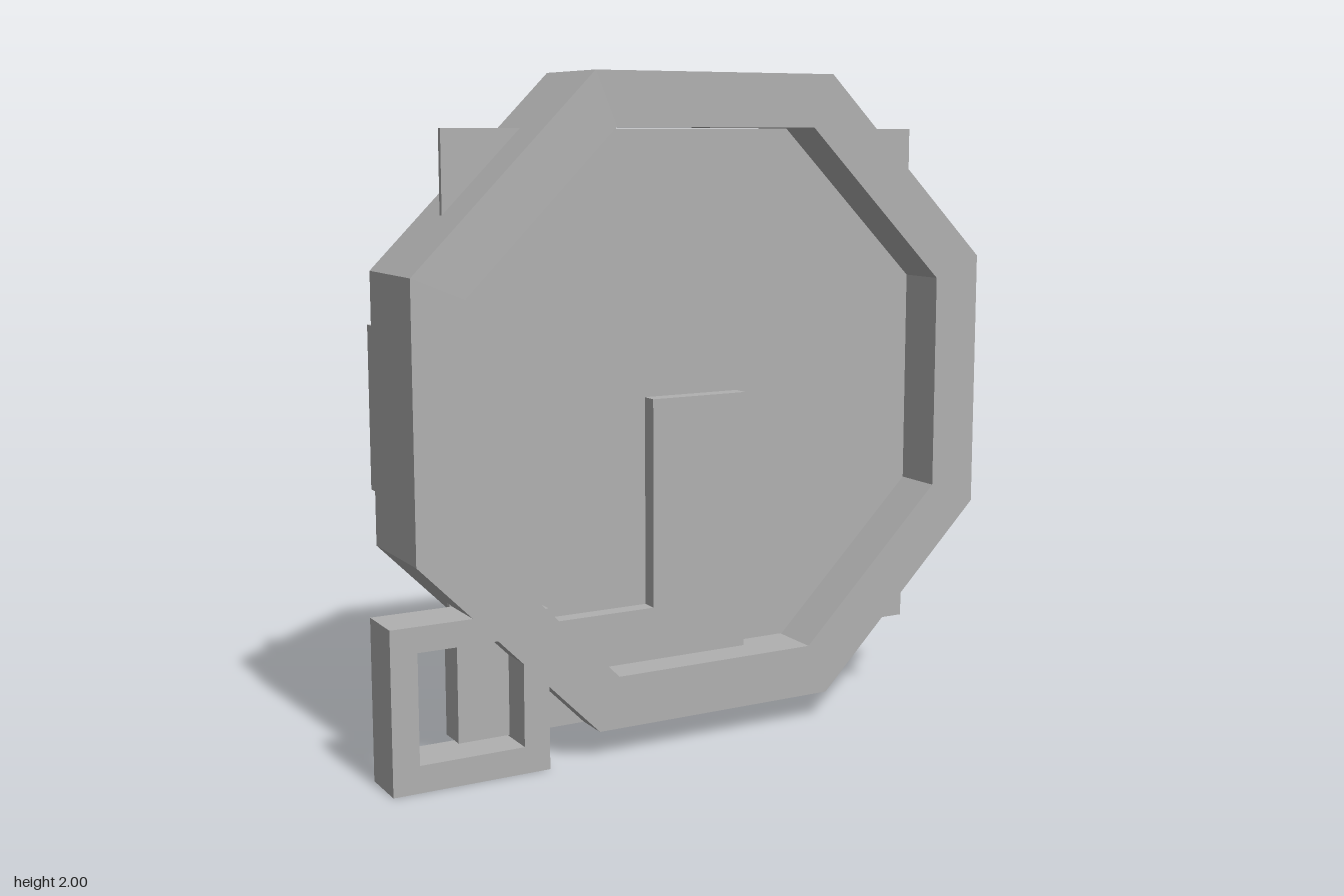
import * as THREE from 'three';

export function createModel() {
  const model = new THREE.Group();
  const grey = new THREE.MeshStandardMaterial({ color: 0xb0b0b0 });
  grey.name = 'plain grey';

  const outline = (pts) => pts.map(([x, y]) => new THREE.Vector2(x, y));

  // Flat outline, optionally with a hole, extruded from z0 to z1
  function slab(name, pts, hole, z0, z1) {
    const shape = new THREE.Shape(outline(pts));
    if (hole) shape.holes.push(new THREE.Path(outline(hole)));
    const geometry = new THREE.ExtrudeGeometry(shape, { depth: z1 - z0, bevelEnabled: false });
    const mesh = new THREE.Mesh(geometry, grey);
    mesh.name = name;
    mesh.position.z = z0;
    model.add(mesh);
  }

  const rect = (x0, x1, y0, y1) => [[x0, y0], [x1, y0], [x1, y1], [x0, y1]];

  // Octagon centred on the ring axis: r = half width, s = half length of a side
  const cx = 0.04, cy = 1.043;
  const octagon = (r, s) =>
    [[s, r], [-s, r], [-r, s], [-r, -s], [-s, -r], [s, -r], [r, -s], [r, s]]
      .map(([x, y]) => [cx + x, cy + y]);

  // Deep octagonal rim around a thin square sheet whose corners poke out
  slab('octagonalRim', octagon(0.958, 0.398), octagon(0.8, 0.332), -0.143, 0.175);
  slab('squareSheet', rect(-0.76, 0.84, 0.245, 1.84), null, 0, 0.016);

  // L-shaped arm running from the centre down and out to the small frame
  slab('lShapedArm',
    [[-0.76, 0.085], [0.2, 0.085], [0.2, 1.043], [-0.12, 1.043], [-0.12, 0.405], [-0.76, 0.405]],
    null, -0.025, 0.068);

  // Small square frame at the lower corner
  slab('cornerFrame', rect(-1, -0.52, 0, 0.48), rect(-0.92, -0.6, 0.08, 0.405), 0.02, 0.175);

  // Back hub and the two clips on the rim
  slab('backHub', rect(cx - 0.1, cx + 0.1, cy - 0.1, cy + 0.1), null, -0.055, 0.01);
  for (const side of [-1, 1]) {
    const x = cx + side * 0.838;
    slab(side > 0 ? 'leftClip' : 'rightClip', rect(x - 0.12, x + 0.12, 0.805, 1.285), null, -0.175, -0.115);
  }

  return model;
}
